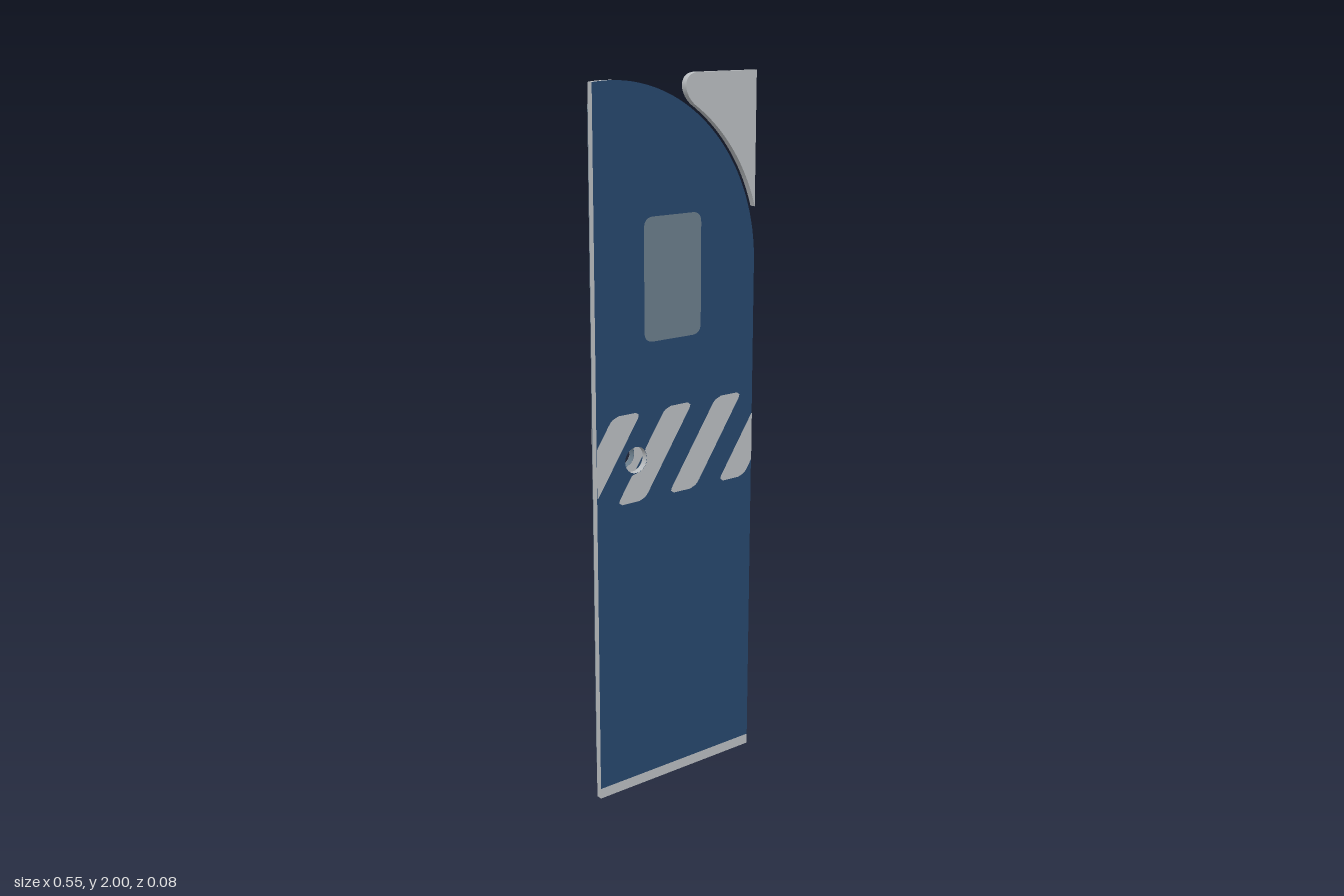
import * as THREE from 'three';

const mat = (name, color, side = THREE.FrontSide) => {
  const m = new THREE.MeshStandardMaterial({ color, side });
  m.name = name;
  return m;
};

const THICK = 0.018;
const HOLE = { x: -0.143, y: 0.979, r: 0.037 };
const ARC = { x: -0.22, y: 1.48 };

// Flat-bottomed panel outline with one quarter-round upper corner and a handle hole
function panelShape({ x0, x1, y0, ry }) {
  const rx = x1 - ARC.x;
  const end = Math.acos((x0 - ARC.x) / rx);
  const s = new THREE.Shape();
  s.moveTo(x0, y0);
  s.lineTo(x1, y0);
  s.lineTo(x1, ARC.y);
  s.absellipse(ARC.x, ARC.y, rx, ry, 0, end, false, 0);
  s.closePath();
  const hole = new THREE.Path();
  hole.absarc(HOLE.x, HOLE.y, HOLE.r, 0, Math.PI * 2, true);
  s.holes.push(hole);
  return s;
}

// Rounded window outline
function windowShape(dx) {
  const x0 = -0.113 + dx, x1 = 0.082 + dx, y0 = 1.3, y1 = 1.635, r = 0.03;
  const s = new THREE.Shape();
  s.moveTo(x0 + r, y0);
  s.lineTo(x1 - r, y0);
  s.quadraticCurveTo(x1, y0, x1, y0 + r);
  s.lineTo(x1, y1 - r);
  s.quadraticCurveTo(x1, y1, x1 - r, y1);
  s.lineTo(x0 + r, y1);
  s.quadraticCurveTo(x0, y1, x0, y1 - r);
  s.lineTo(x0, y0 + r);
  s.quadraticCurveTo(x0, y0, x0 + r, y0);
  return s;
}

// Slanted stripe, clipped to the panel's sides and to the handle hole
function stripeShape(bottomX, xMin, xMax) {
  const left = [], right = [], y0 = 0.86, y1 = 1.112, rows = 36, r = 0.018;
  for (let i = 0; i <= rows; i++) {
    const t = i / rows, y = y0 + (y1 - y0) * t;
    const e = Math.min(y - y0, y1 - y);
    const inset = e < r ? r - Math.sqrt(r * r - (r - e) ** 2) : 0;
    let l = Math.max(bottomX + 0.17 * t + inset, xMin);
    const rt = Math.min(bottomX + 0.095 + 0.17 * t - inset, xMax);
    const d = HOLE.r ** 2 - (y - HOLE.y) ** 2;
    if (d > 0) {
      const h = Math.sqrt(d);
      if (l < HOLE.x + h && rt > HOLE.x + h) l = Math.max(l, HOLE.x + h);
    }
    if (rt - l > 0.002) {
      left.push(new THREE.Vector2(l, y));
      right.push(new THREE.Vector2(rt, y));
    }
  }
  return left.length > 1 ? new THREE.Shape([...right, ...left.reverse()]) : null;
}

export function createModel() {
  const root = new THREE.Group();
  root.name = 'archedDoorPanels';
  const blue = mat('navyPaint', 0x27476d);
  const grey = mat('lightGrey', 0xbabec1, THREE.DoubleSide);
  const slate = mat('slateGrey', 0x6a7d8b, THREE.DoubleSide);

  const add = (parent, name, geometry, material) => {
    const m = new THREE.Mesh(geometry, material);
    m.name = name;
    parent.add(m);
    return m;
  };
  const slab = (shape) =>
    new THREE.ExtrudeGeometry(shape, { depth: THICK, bevelEnabled: false, curveSegments: 40 });

  // Painted panel with stripes and window on both faces
  function doorPanel(name, size, edge, z, dx) {
    const g = new THREE.Group();
    g.name = name;
    g.position.z = z;
    add(g, name + 'Slab', slab(panelShape(size)), [blue, edge]);
    for (const faceZ of [-0.001, THICK + 0.001]) {
      add(g, 'window', new THREE.ShapeGeometry(windowShape(dx)), slate).position.z = faceZ;
      for (let i = 0; i < 4; i++) {
        const s = stripeShape(-0.39 + 0.18 * i + dx, size.x0, size.x1);
        if (s) add(g, 'stripe', new THREE.ShapeGeometry(s), grey).position.z = faceZ;
      }
    }
    root.add(g);
    return g;
  }

  const front = doorPanel('frontPanel', { x0: -0.275, x1: 0.275, y0: 0.03, ry: 0.508 }, grey, 0.02, 0);
  doorPanel('rearPanel', { x0: -0.235, x1: 0.185, y0: 0.07, ry: 0.447 }, slate, -0.038, -0.033);

  // Bare strip along the foot of the front panel
  const sill = add(front, 'bottomStrip', new THREE.BoxGeometry(0.55, 0.03, THICK), grey);
  sill.position.set(0, 0.015, THICK / 2);

  // Corner filler that follows the arch with a small gap
  const R = 0.518;
  const a0 = Math.acos((0.275 - ARC.x) / R), a1 = Math.acos((0.06 - ARC.x) / R);
  const c = new THREE.Shape();
  c.moveTo(0.275, 2);
  c.lineTo(0.275, ARC.y + R * Math.sin(a0));
  c.absarc(ARC.x, ARC.y, R, a0, a1, false);
  c.bezierCurveTo(0.015, 1.95, 0.02, 2, 0.07, 2);
  c.closePath();
  add(root, 'cornerFiller', slab(c), grey).position.z = 0.02;

  return root;
}
